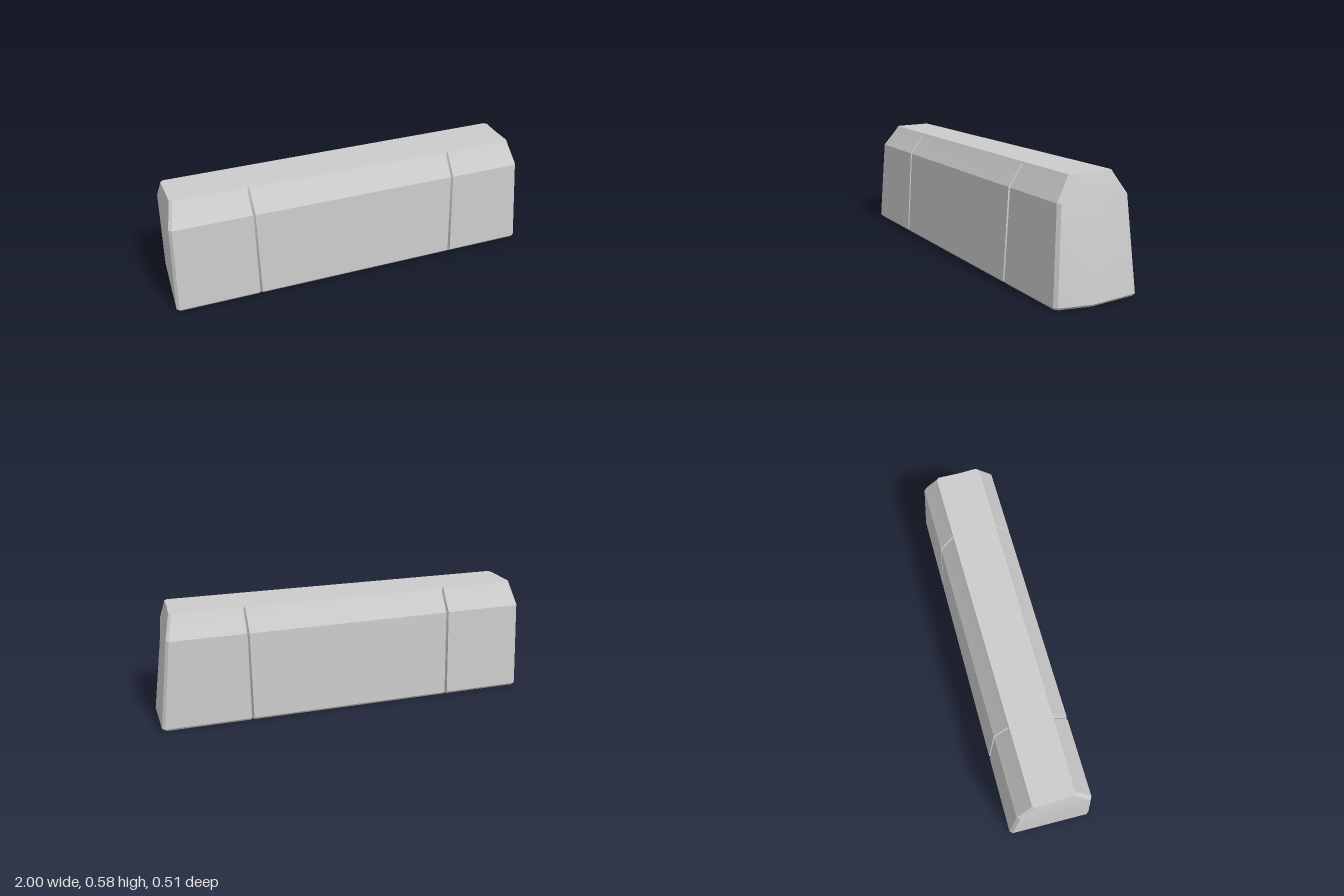
import * as THREE from 'three';
import { toCreasedNormals } from 'three/addons/utils/BufferGeometryUtils.js';

const V = (x, z) => new THREE.Vector2(x, z);

// Corner outlines (x, z): front left, front right, end bulge, back right, back left
const outlines = {
  foot: [V(-0.992, 0.177), V(0.943, 0.246), V(0.99, 0.08), V(0.985, -0.177), V(-0.968, -0.247)],
  base: [V(-1, 0.186), V(0.95, 0.256), V(1, 0.08), V(0.994, -0.184), V(-0.975, -0.256)],
  shoulder: [V(-0.978, 0.156), V(0.922, 0.226), V(0.938, 0.05), V(0.937, -0.164), V(-0.966, -0.222)],
  top: [V(-0.945, 0.073), V(0.9, 0.149), V(0.9, 0.03), V(0.907, -0.09), V(-0.95, -0.143)],
};
const mix = (a, b, t) => a.map((p, i) => p.clone().lerp(b[i], t));

// Horizontal loop with chamfered corners and a V groove at each joint on both long sides
function loop(corners, grooveDepth) {
  const [fl, fr, bulge, br, bl] = corners;
  const towards = (p, q, d) => p.clone().add(q.clone().sub(p).setLength(d));
  const chamfer = (prev, p, next) => [towards(p, prev, 0.014), towards(p, next, 0.014)];
  const grooves = (p, q, joints, inward, depth) => joints.flatMap((x) =>
    [-1, 0, 1].map((k) => {
      const gx = x + k * 0.007 * Math.sign(q.x - p.x);
      const z = p.y + (q.y - p.y) * (gx - p.x) / (q.x - p.x);
      return V(gx, k === 0 ? z + inward * depth : z);
    }));
  return [
    ...chamfer(bl, fl, fr),
    ...grooves(fl, fr, [-0.56, 0.528], -1, grooveDepth * 0.7),
    ...chamfer(fl, fr, bulge),
    bulge,
    ...chamfer(bulge, br, bl),
    ...grooves(br, bl, [0.535, -0.545], 1, grooveDepth),
    ...chamfer(br, bl, fl),
  ];
}

// Stack the loops into a closed solid
function stackLoops(levels) {
  const pos = [], index = [];
  const n = levels[0].points.length;
  levels.forEach(({ y, points }) => points.forEach((p) => pos.push(p.x, y, p.y)));
  for (let l = 0; l < levels.length - 1; l++) {
    for (let i = 0; i < n; i++) {
      const j = (i + 1) % n;
      const a = l * n + i, b = l * n + j, c = b + n, d = a + n;
      index.push(a, b, c, a, c, d);
    }
  }
  const cap = (l, flip) => {
    const contour = levels[l].points.map((p) => V(p.x, -p.y));
    THREE.ShapeUtils.triangulateShape(contour, []).forEach(([a, b, c]) => {
      const t = flip ? [a, c, b] : [a, b, c];
      index.push(...t.map((i) => l * n + i));
    });
  };
  cap(0, true);
  cap(levels.length - 1, false);
  const geo = new THREE.BufferGeometry();
  geo.setAttribute('position', new THREE.Float32BufferAttribute(pos, 3));
  geo.setIndex(index);
  return toCreasedNormals(geo, 0.4);
}

export function createModel() {
  const { foot, base, shoulder, top } = outlines;
  const geometry = stackLoops([
    { y: 0, points: loop(foot, 0.016) },
    { y: 0.012, points: loop(base, 0.018) },
    { y: 0.47, points: loop(shoulder, 0.018) },
    { y: 0.568, points: loop(mix(shoulder, top, 0.87), 0.014) },
    { y: 0.585, points: loop(top, 0) },
  ]);
  const block = new THREE.Mesh(geometry, new THREE.MeshStandardMaterial({ color: 0xcccccc }));
  block.name = 'barrierBlock';
  const group = new THREE.Group();
  group.name = 'barrier';
  group.add(block);
  return group;
}
